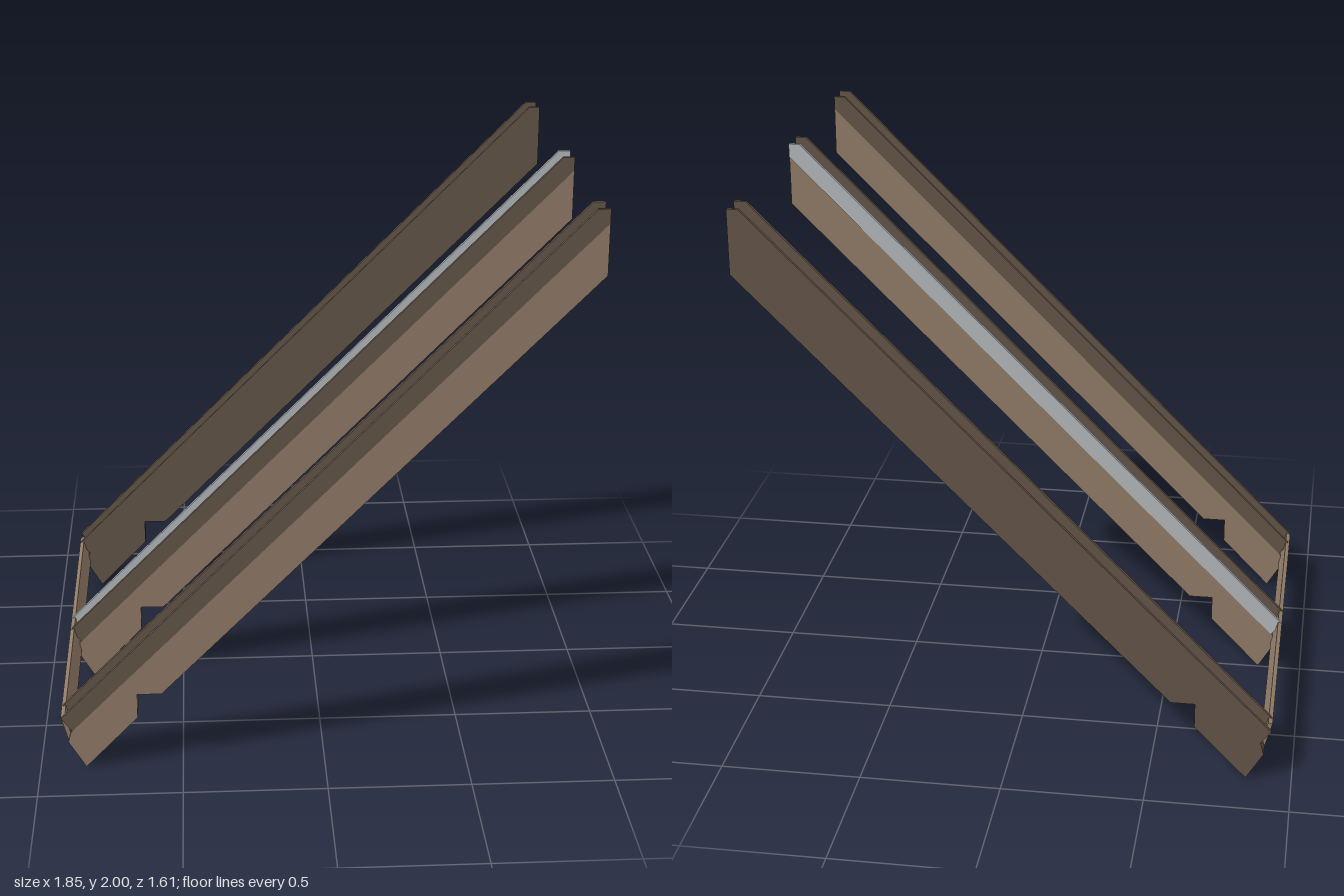
import * as THREE from 'three';

export function createModel() {
  const model = new THREE.Group();
  const lightWood = new THREE.MeshStandardMaterial({ name: 'lightWood', color: 0x927c68 });
  const darkWood = new THREE.MeshStandardMaterial({ name: 'darkWood', color: 0x655649 });
  const greyMetal = new THREE.MeshStandardMaterial({ name: 'greyMetal', color: 0xb5babd });

  // Extrudes an x-y outline from z0 to z1
  function slab(name, outline, z0, z1, material, parent) {
    const shape = new THREE.Shape(outline.map(([x, y]) => new THREE.Vector2(x, y)));
    const geometry = new THREE.ExtrudeGeometry(shape, { depth: z1 - z0, bevelEnabled: false });
    geometry.translate(0, 0, z0);
    const mesh = new THREE.Mesh(geometry, material);
    mesh.name = name;
    parent.add(mesh);
  }

  // Sloping beam with a seat notch near its lower end
  const beam = [
    [-0.84, 0], [-0.655, 0.19], [-0.655, 0.28], [-0.57, 0.28],
    [0.925, 1.775], [0.925, 1.952], [-0.89, 0.137], [-0.9, 0.1],
  ];
  // Thin batten on the upper edge, cut level at the top
  const batten = [
    [-0.885, 0.142], [0.925, 1.952], [0.925, 2], [0.885, 2], [-0.923, 0.192],
  ];
  // Leaning board across the lower ends
  const fascia = [[-0.9, 0.1], [-0.885, 0.105], [-0.91, 0.197], [-0.925, 0.192]];

  const rafters = [
    { name: 'frontRafter', z0: 0.7, z1: 0.805, wood: lightWood, rear: darkWood },
    { name: 'middleRafter', z0: 0.005, z1: 0.11, wood: lightWood, rear: greyMetal },
    { name: 'backRafter', z0: -0.805, z1: -0.7, wood: darkWood, rear: darkWood },
  ];
  const t = 0.014;
  for (const { name, z0, z1, wood, rear } of rafters) {
    const rafter = new THREE.Group();
    rafter.name = name;
    slab('beam', beam, z0, z1, wood, rafter);
    slab('frontBatten', batten, z1 - t, z1, darkWood, rafter);
    // The grey strip overhangs its beam slightly
    const rearZ = rear === greyMetal ? z0 - 0.005 : z0;
    slab('rearBatten', batten, rearZ, rearZ + t, rear, rafter);
    model.add(rafter);
  }
  slab('fasciaBoard', fascia, -0.75, 0.79, lightWood, model);
  return model;
}
